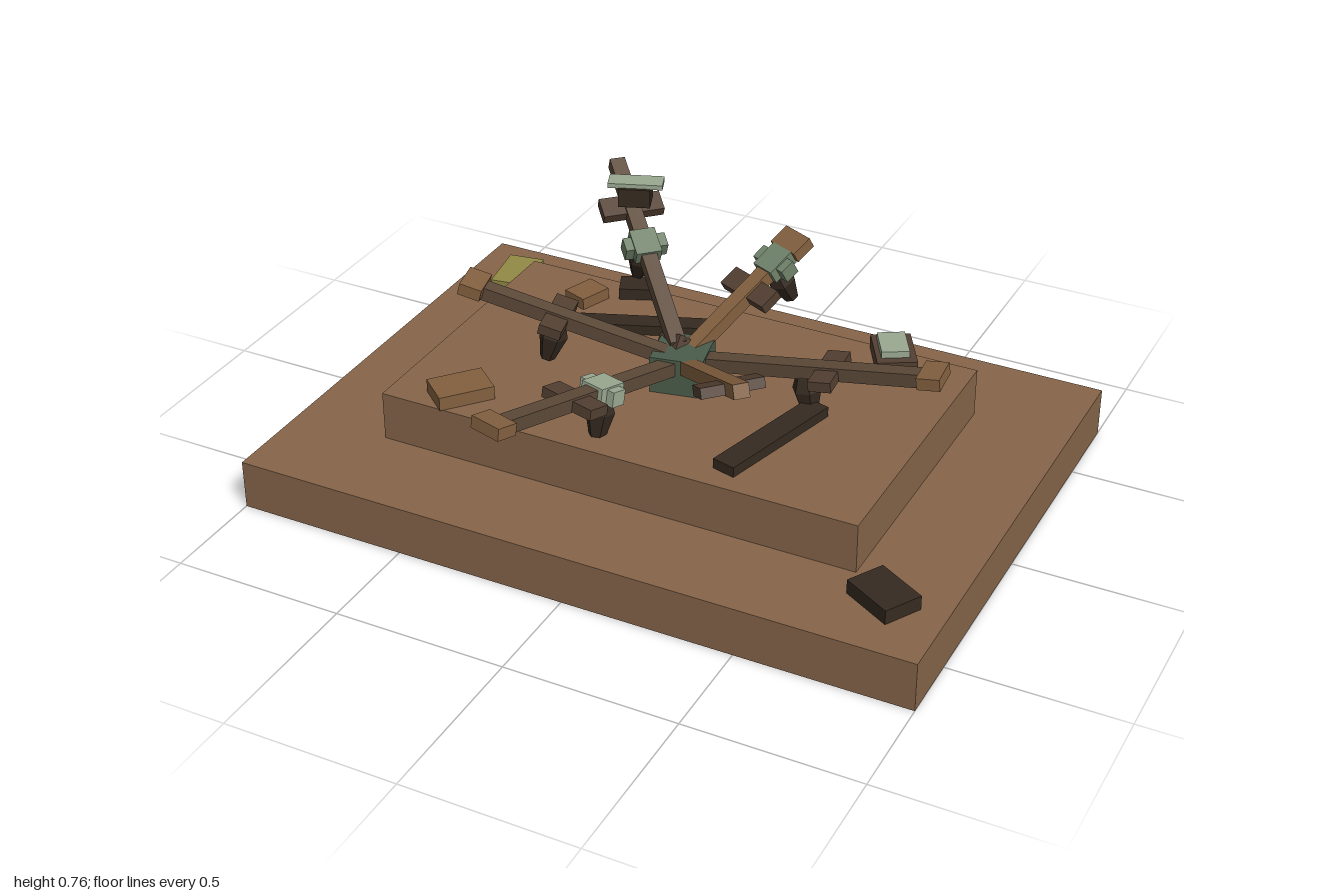
import * as THREE from 'three';

const mat = (name, color) => {
  const m = new THREE.MeshStandardMaterial({ color });
  m.name = name;
  return m;
};

export function createModel() {
  const M = {
    earth: mat('earth brown', 0x86654a),
    wood: mat('mid wood', 0x5c4938),
    light: mat('light wood', 0x83603f),
    dark: mat('dark wood', 0x352a20),
    cross: mat('crosspiece brown', 0x523f31),
    pale: mat('pale green', 0x9aa991),
    sage: mat('sage green', 0x71836b),
    hub: mat('deep green', 0x4b5c4b),
    ochre: mat('ochre', 0x918a45),
  };
  const model = new THREE.Group();
  model.name = 'brokenWheelOnPlinth';

  const box = (name, material, size, pos, parent = model, yaw = 0) => {
    const mesh = new THREE.Mesh(new THREE.BoxGeometry(...size), material);
    mesh.name = name;
    mesh.position.set(...pos);
    mesh.rotation.y = yaw;
    parent.add(mesh);
    return mesh;
  };

  // Stepped plinth
  box('plinthBase', M.earth, [2, 0.145, 1.425], [0, 0.0725, -0.0175]);
  box('plinthStep', M.earth, [1.43, 0.145, 0.855], [0, 0.2175, -0.0175]);

  // Hub with a tilted socket block
  box('hub', M.hub, [0.15, 0.11, 0.15], [0, 0.345, -0.02], model, 0.2);
  const socket = box('hubSocket', M.cross, [0.09, 0.09, 0.09], [-0.03, 0.357, -0.045]);
  socket.rotation.set(0.785, 0, 0.5);

  // Faceted weight hanging under an arm
  const weightGeo = new THREE.LatheGeometry(
    [[0, -0.065], [0.022, -0.065], [0.042, 0.015], [0.026, 0.06], [0, 0.06]]
      .map(([r, y]) => new THREE.Vector2(r, y)), 6).toNonIndexed();
  weightGeo.computeVertexNormals();

  // Arms run along local +z; part distances are fractions of the arm length
  const arms = [
    { from: [-0.02, 0.375, 0], to: [-0.58, 0.525, 0.13], m: M.wood, cross: 0.57, weight: 0.57, tip: true },
    { from: [0, 0.365, 0.02], to: [-0.19, 0.485, 0.69], m: M.wood, cross: 0.57, weight: 0.42, clamp: M.pale, clampAt: 0.42, tip: true },
    { from: [0.04, 0.375, 0.03], to: [0.34, 0.54, 0.32], m: M.light, cross: 0.78 },
    { from: [0.02, 0.365, -0.02], to: [0.72, 0.46, -0.085], m: M.wood, cross: 0.58, weight: 0.48, tip: true },
    { from: [0.01, 0.375, -0.04], to: [0.17, 0.59, -0.385], m: M.light, cross: 0.58, weight: 0.8, clamp: M.sage, clampAt: 0.82, tip: true },
    { from: [-0.02, 0.395, -0.03], to: [-0.43, 0.685, -0.45], m: M.wood, cross: 0.75, weight: 0.54, clamp: M.sage, clampAt: 0.53 },
  ];
  for (const a of arms) {
    const arm = new THREE.Group();
    arm.name = 'arm';
    const start = new THREE.Vector3(...a.from);
    const end = new THREE.Vector3(...a.to);
    const len = start.distanceTo(end);
    arm.position.copy(start);
    arm.lookAt(end);
    model.add(arm);
    box('armBeam', a.m, [0.045, 0.04, len], [0, 0, len / 2], arm);
    box('armCrosspiece', M.cross, [0.18, 0.03, 0.065], [0, -0.002, len * a.cross], arm);
    if (a.tip) box('armTip', M.light, [0.1, 0.035, 0.065], [0, 0.008, len - 0.005], arm);
    if (a.clamp) {
      const z = len * a.clampAt;
      box('clampTop', a.clamp, [0.075, 0.045, 0.085], [0, 0.005, z], arm);
      for (const s of [-1, 1]) box('clampJaw', a.clamp, [0.03, 0.045, 0.045], [s * 0.047, 0, z], arm);
    }
    if (a.weight) {
      const weight = new THREE.Mesh(weightGeo, M.dark);
      weight.name = 'hangingWeight';
      weight.position.set(0, -0.075, len * a.weight);
      arm.add(weight);
    }
  }

  // Fallen beams on the step
  box('fallenBeam', M.dark, [0.4, 0.03, 0.07], [0.352, 0.305, 0.15], model, Math.atan2(-0.38, -0.1));
  box('fallenBeam', M.dark, [0.37, 0.03, 0.06], [-0.23, 0.305, -0.225], model, Math.atan2(0.14, 0.36));

  // Loose blocks
  box('looseBlock', M.light, [0.16, 0.04, 0.11], [-0.515, 0.31, 0.32], model, 0.87);
  box('looseBlock', M.light, [0.08, 0.035, 0.1], [-0.46, 0.307, -0.31], model, -0.35);
  box('looseBlock', M.dark, [0.11, 0.035, 0.08], [-0.34, 0.307, -0.41], model, 0.4);
  box('cappedBlock', M.cross, [0.115, 0.04, 0.16], [0.483, 0.31, -0.39], model, 0.52);
  box('blockCap', M.pale, [0.08, 0.02, 0.11], [0.48, 0.34, -0.39], model, 0.52);
  box('ochreBlock', M.ochre, [0.11, 0.042, 0.17], [-0.83, 0.166, -0.535], model, 0.16);
  box('cornerBlock', M.dark, [0.16, 0.042, 0.115], [0.826, 0.166, 0.493], model, -0.52);

  // Floating block with its cap plate
  box('floatingBlock', M.dark, [0.09, 0.055, 0.08], [-0.262, 0.717, -0.248], model, 0.36);
  box('floatingCap', M.pale, [0.155, 0.014, 0.06], [-0.26, 0.75, -0.248], model, 0.36);

  return model;
}
